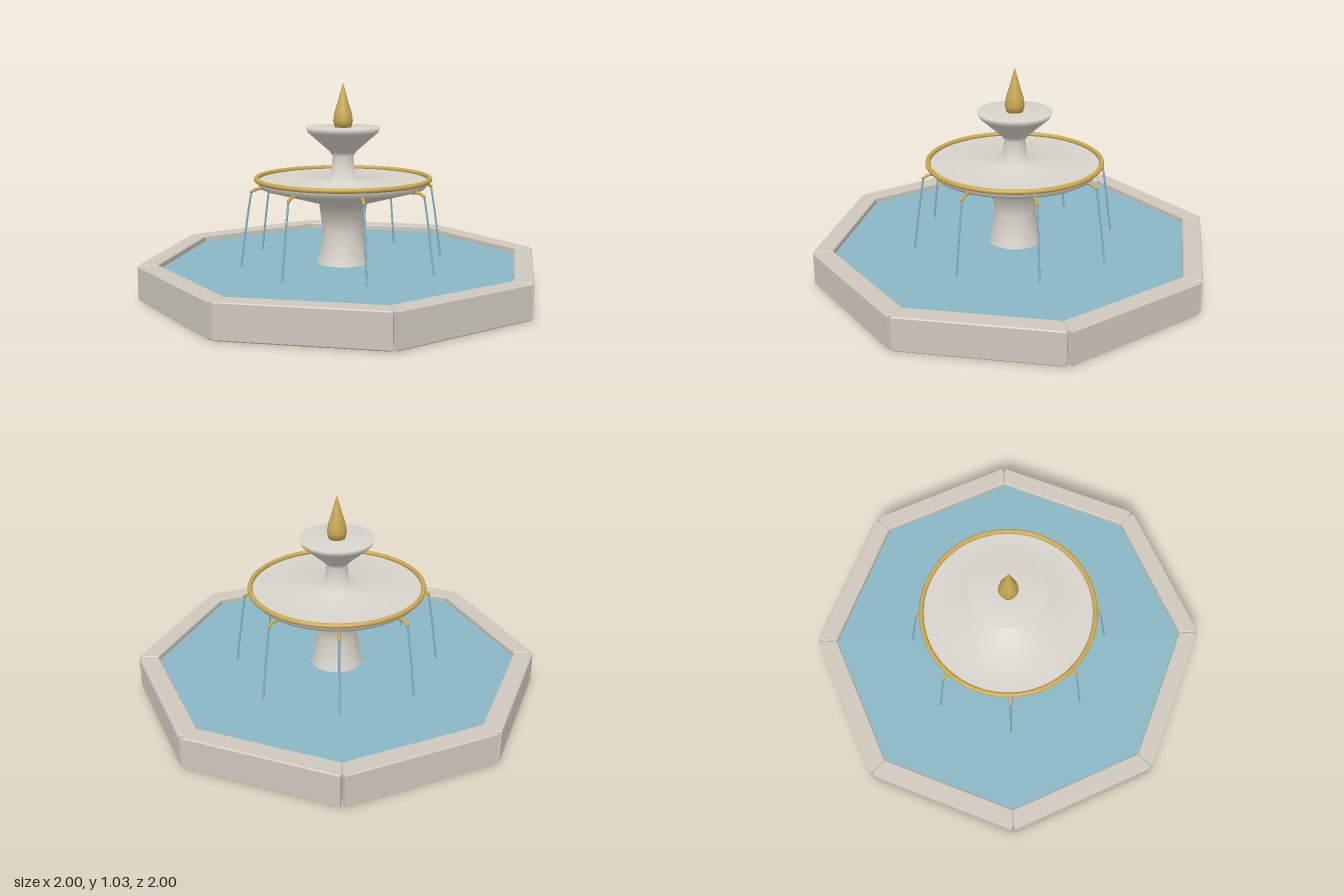
import * as THREE from 'three';

const mat = (name, color) => {
  const m = new THREE.MeshStandardMaterial({ color });
  m.name = name;
  return m;
};

export function createModel() {
  const stone = mat('stone', 0xcec7bd);
  const paleStone = mat('pale stone', 0xd8d3ca);
  const gold = mat('gold', 0xc9a854);
  const water = mat('water', 0x8ab6c4);
  const jetWater = mat('jet water', 0x86b4c8);

  const model = new THREE.Group();
  model.name = 'fountain';
  const add = (name, geometry, material, parent = model) => {
    const mesh = new THREE.Mesh(geometry, material);
    mesh.name = name;
    parent.add(mesh);
    return mesh;
  };
  const lathe = (pts, n) =>
    new THREE.LatheGeometry(pts.map(([r, y]) => new THREE.Vector2(r, y)), n);
  const SIDES = 8;
  const STEP = (Math.PI * 2) / SIDES;

  // Basin floor and water surface
  const floor = new THREE.CylinderGeometry(0.985, 0.985, 0.03, SIDES);
  add('basinFloor', floor, stone).position.y = 0.017;
  const pool = new THREE.CircleGeometry(0.93, SIDES).rotateX(-Math.PI / 2);
  add('poolWater', pool, water).position.y = 0.143;

  // One mitred wall block, with corners cut back to leave a small notch
  const v0 = new THREE.Vector2(1.004, 0);
  const v1 = new THREE.Vector2(Math.cos(STEP), Math.sin(STEP)).multiplyScalar(1.004);
  const edge = v1.clone().sub(v0).setLength(0.011);
  const at = (v, k) => v.clone().multiplyScalar(k);
  const bevel = 0.005;
  const wall = new THREE.ExtrudeGeometry(new THREE.Shape([
    v0.clone().add(edge), v1.clone().sub(edge),
    at(v1, 0.973), at(v1, 0.9), at(v0, 0.9), at(v0, 0.973),
  ]), {
    depth: 0.166 - 2 * bevel, bevelEnabled: true, bevelSegments: 1,
    bevelThickness: bevel, bevelSize: bevel, bevelOffset: -bevel,
  });
  wall.rotateX(-Math.PI / 2).translate(0, 0.004 + bevel, 0);
  for (let i = 0; i < SIDES; i++) add('basinWall', wall, stone).rotation.y = i * STEP;

  // Pedestal, lower bowl, stem and upper bowl turned as one softly shaded piece
  add('pedestalAndBowls', lathe([
    [0, 0], [0.19, 0], [0.17, 0.05], [0.122, 0.165], [0.1, 0.3], [0.118, 0.44],
    [0.405, 0.522], [0.425, 0.552], [0.41, 0.557], [0.066, 0.55],
    [0.05, 0.67], [0.066, 0.695], [0.172, 0.788], [0.183, 0.815], [0, 0.812],
  ], 48), paleStone);

  // Gilt rim and finial
  const rim = new THREE.TorusGeometry(0.425, 0.012, 10, 64).rotateX(Math.PI / 2);
  add('bowlRim', rim, gold).position.y = 0.562;
  add('finial', lathe([
    [0, 0.81], [0.04, 0.81], [0.048, 0.845], [0.042, 0.885],
    [0.028, 0.93], [0.014, 0.98], [0, 1.03],
  ], 24), gold);

  // Spouts around the lower bowl, each with a falling jet
  const tube = (pts, radius) => new THREE.TubeGeometry(
    new THREE.CatmullRomCurve3(pts.map(([x, y]) => new THREE.Vector3(x, y, 0))), 10, radius, 8);
  const spout = tube([[0.385, 0.522], [0.425, 0.522], [0.453, 0.508]], 0.008);
  const spoutTip = new THREE.SphereGeometry(0.008, 8, 6).translate(0.453, 0.508, 0);
  const jet = tube([[0.452, 0.508], [0.472, 0.39], [0.489, 0.27], [0.507, 0.142]], 0.005);
  for (let i = 0; i < SIDES; i++) {
    const group = new THREE.Group();
    group.name = 'spoutAndJet';
    group.rotation.y = i * STEP;
    add('spout', spout, gold, group);
    add('spoutTip', spoutTip, gold, group);
    add('jet', jet, jetWater, group);
    model.add(group);
  }
  return model;
}
